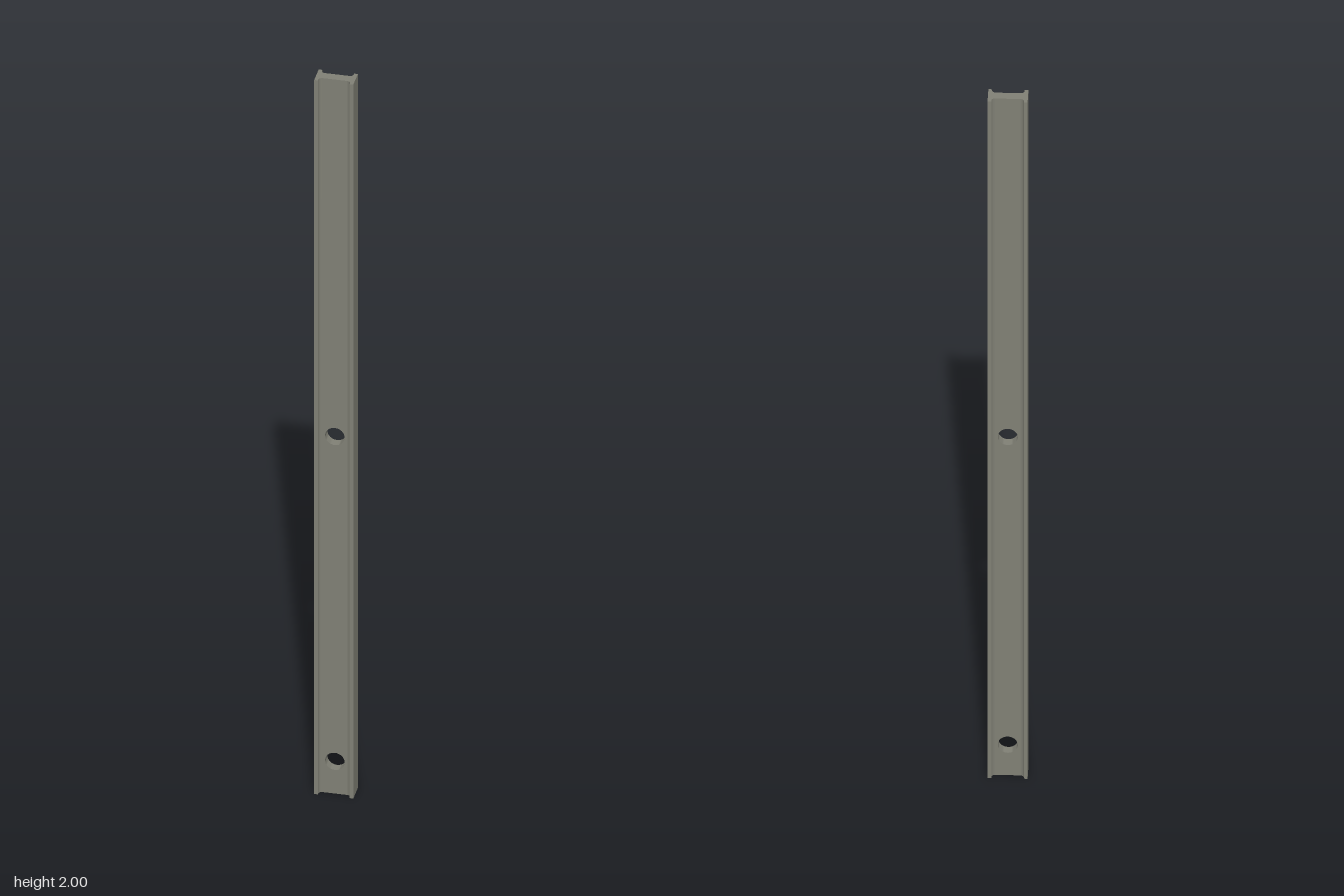
import * as THREE from 'three';
import { toCreasedNormals } from 'three/addons/utils/BufferGeometryUtils.js';

const HEIGHT = 2, HALF_W = 0.048, HALF_D = 0.025;
const WEB_X = 0.03, WEB_Z = 0.012, FILLET = 0.009;
const HOLE_R = 0.024, HOLE_Y = [0.09, 1.0];

const steel = new THREE.MeshStandardMaterial({ color: 0x808075 });
steel.name = 'grey steel';

// Central plate with round bolt holes
function webGeometry() {
  const s = new THREE.Shape();
  s.moveTo(-WEB_X, 0).lineTo(WEB_X, 0).lineTo(WEB_X, HEIGHT).lineTo(-WEB_X, HEIGHT).closePath();
  for (const y of HOLE_Y) s.holes.push(new THREE.Path().absarc(0, y, HOLE_R, 0, Math.PI * 2, true));
  const g = new THREE.ExtrudeGeometry(s, { depth: WEB_Z * 2, bevelEnabled: false, curveSegments: 16 });
  return toCreasedNormals(g.translate(0, 0, -WEB_Z), 0.6);
}

// Flange cross-section with a fillet on each side of the web, extruded upward
function flangeGeometry() {
  const inner = WEB_X + FILLET, c = WEB_Z + FILLET;
  const s = new THREE.Shape();
  s.moveTo(WEB_X, -WEB_Z);
  s.absarc(WEB_X, -c, FILLET, Math.PI / 2, 0, true);
  s.lineTo(inner, -HALF_D).lineTo(HALF_W, -HALF_D).lineTo(HALF_W, HALF_D).lineTo(inner, HALF_D);
  s.lineTo(inner, c);
  s.absarc(WEB_X, c, FILLET, 0, -Math.PI / 2, true);
  s.closePath();
  const g = new THREE.ExtrudeGeometry(s, { depth: HEIGHT, bevelEnabled: false, curveSegments: 6 });
  return toCreasedNormals(g.rotateX(-Math.PI / 2), 0.6);
}

export function createModel() {
  const group = new THREE.Group();
  group.name = 'beam';

  const web = new THREE.Mesh(webGeometry(), steel);
  web.name = 'web';
  group.add(web);

  // The profile is symmetric, so a half turn gives the opposite flange
  const geometry = flangeGeometry();
  for (const [name, turn] of [['leftFlange', 0], ['rightFlange', Math.PI]]) {
    const flange = new THREE.Mesh(geometry, steel);
    flange.name = name;
    flange.rotation.y = turn;
    group.add(flange);
  }
  return group;
}
